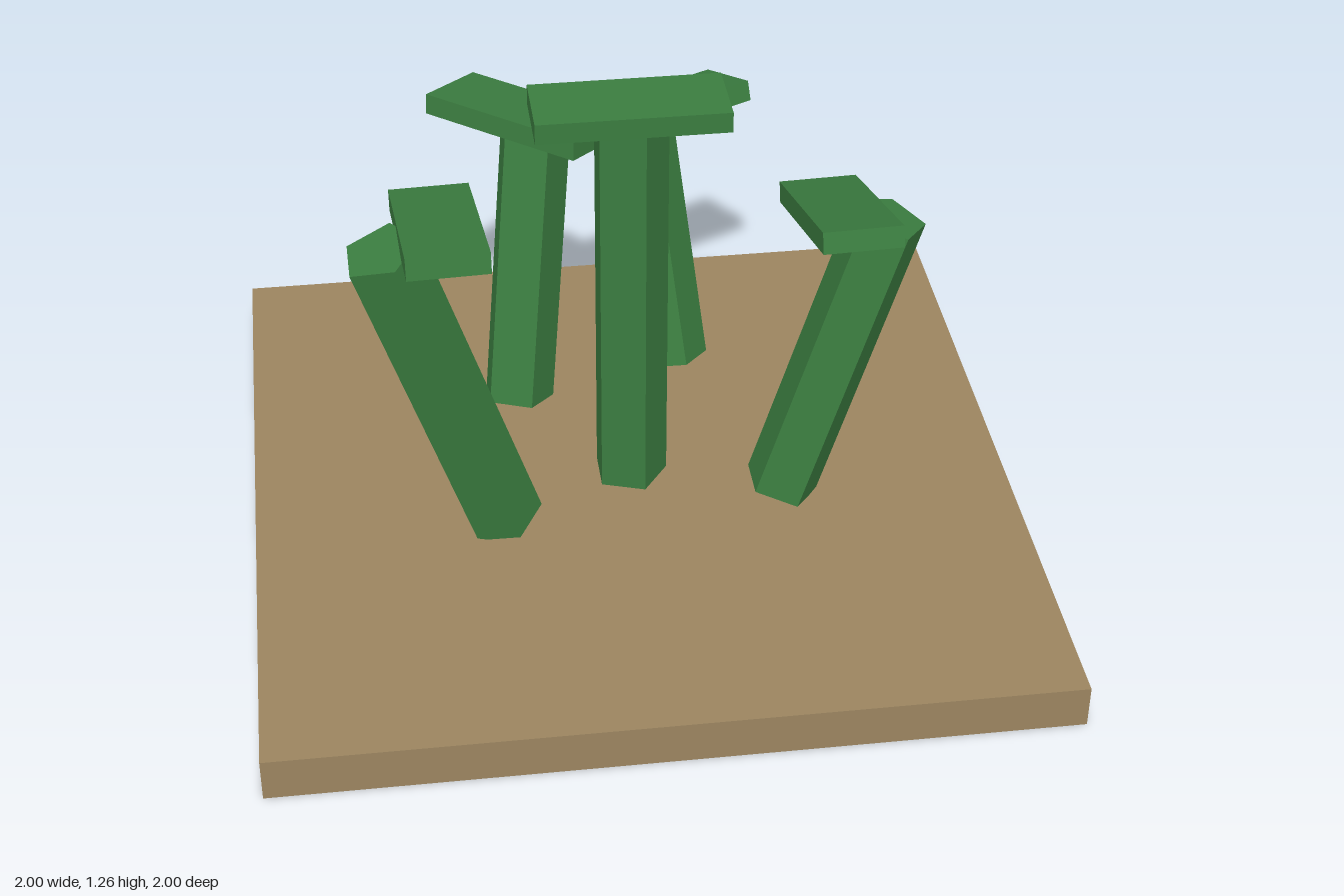
import * as THREE from 'three';

const green = new THREE.MeshStandardMaterial({ color: 0x3b7d40, flatShading: true });
const soil = new THREE.MeshStandardMaterial({ color: 0x9c8560, flatShading: true });

// Five-sided trunk running from one centre point to another, one corner toward +x
function trunk(bottom, top) {
  const a = new THREE.Vector3(...bottom);
  const b = new THREE.Vector3(...top);
  const axis = b.clone().sub(a);
  const geo = new THREE.CylinderGeometry(0.1, 0.1, axis.length(), 5, 1, false, Math.PI / 2);
  const mesh = new THREE.Mesh(geo, green);
  mesh.name = 'trunk';
  mesh.position.copy(a).add(b).multiplyScalar(0.5);
  mesh.quaternion.setFromUnitVectors(new THREE.Vector3(0, 1, 0), axis.normalize());
  return mesh;
}

// Slab cap: yaw, then pitch of the long side, then roll about it
function cap(center, [yaw, pitch, roll]) {
  const mesh = new THREE.Mesh(new THREE.BoxGeometry(0.485, 0.055, 0.2), green);
  mesh.name = 'cap';
  mesh.position.set(...center);
  mesh.rotation.set(roll, yaw, pitch, 'YZX');
  return mesh;
}

export function createModel() {
  const model = new THREE.Group();
  model.name = 'plantsOnBase';

  // Square ground slab
  const base = new THREE.Mesh(new THREE.BoxGeometry(2, 0.115, 2), soil);
  base.name = 'base';
  base.position.y = 0.0575;
  model.add(base);

  // Upright plant in the middle and four leaning ones
  const plants = [
    { name: 'centerPlant', bottom: [0, 0.115, 0], top: [0, 1.205, 0], cap: [0, 1.232, 0], turn: [0, 0, 0] },
    { name: 'rightPlant', bottom: [-0.35, 0.138, 0.185], top: [-0.633, 1.045, 0.275], cap: [-0.49, 1.06, 0.225], turn: [-1.53, 0.21, 0] },
    { name: 'leftPlant', bottom: [0.387, 0.137, 0.14], top: [0.634, 0.955, 0.14], cap: [0.51, 0.975, 0.14], turn: [-1.53, 0.29, 0] },
    { name: 'backRightPlant', bottom: [-0.27, 0.138, -0.345], top: [-0.19, 0.945, -0.515], cap: [-0.23, 0.978, -0.435], turn: [-0.741, 0.045, -0.12] },
    { name: 'backLeftPlant', bottom: [0.18, 0.142, -0.465], top: [0.1, 0.855, -0.68], cap: [0.145, 0.888, -0.58], turn: [0.445, 0, -0.28] },
  ];
  for (const p of plants) {
    const plant = new THREE.Group();
    plant.name = p.name;
    plant.add(trunk(p.bottom, p.top), cap(p.cap, p.turn));
    model.add(plant);
  }
  return model;
}
